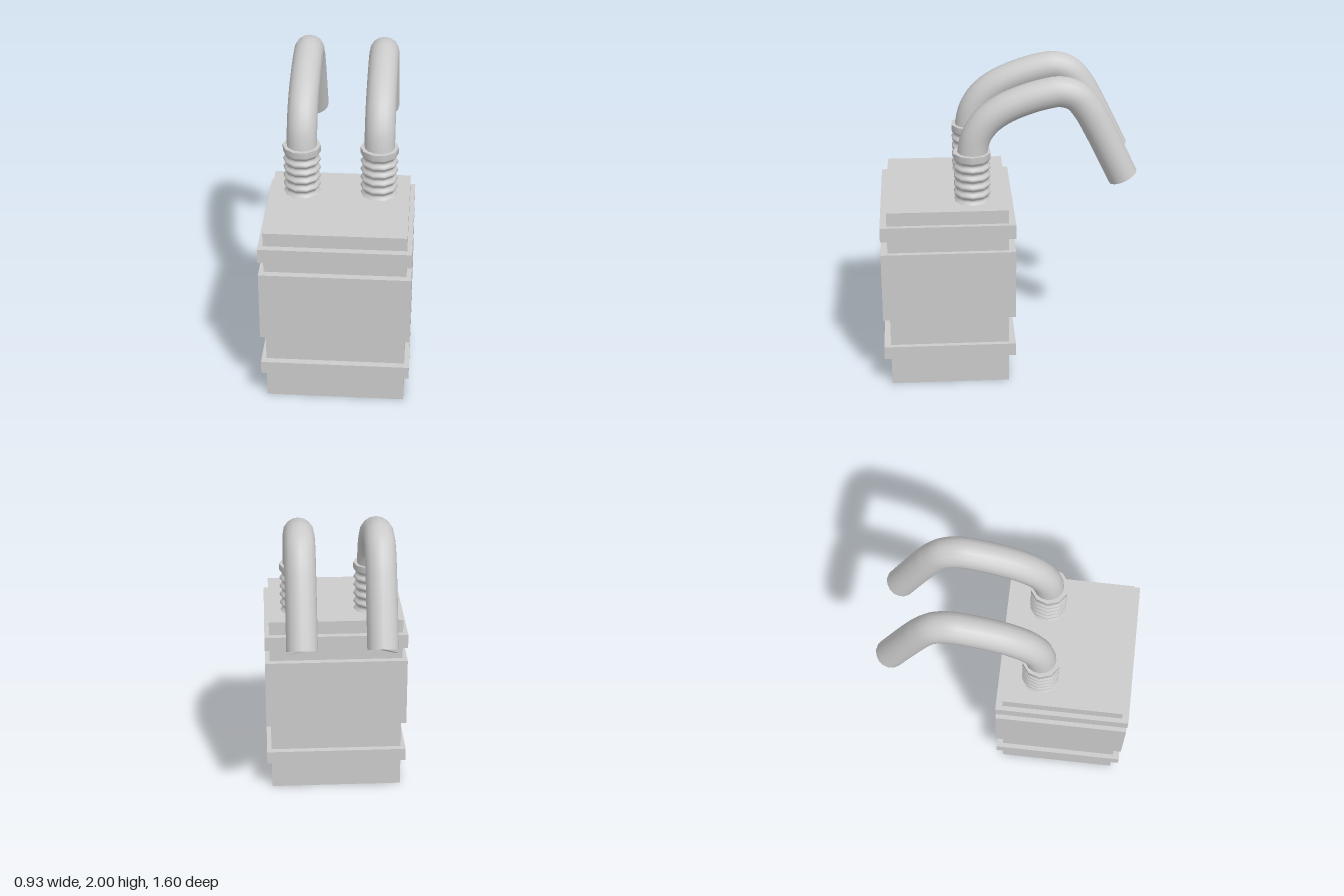
import * as THREE from 'three';

const material = new THREE.MeshStandardMaterial({ color: 0xcccccc });
const BODY_Z = 0.385;
const HOSE_X = 0.24;
const HOSE_Z = 0.226;
const HOSE_R = 0.094;

function addMesh(parent, name, geometry) {
  const mesh = new THREE.Mesh(geometry, material);
  mesh.name = name;
  parent.add(mesh);
  return mesh;
}

// Square block spanning two heights
function addBlock(parent, name, y0, y1, width, depth) {
  const block = addMesh(parent, name, new THREE.BoxGeometry(width, y1 - y0, depth));
  block.position.set(0, (y0 + y1) / 2, BODY_Z);
}

// Ribbed sleeve profile: five bulges below a plain rim
function collarGeometry() {
  const profile = [];
  const bottom = 1.205, ribs = 5, pitch = 0.057, steps = 6;
  for (let i = 0; i <= ribs * steps; i++) {
    const wave = Math.cos((i / steps) * Math.PI * 2);
    profile.push(new THREE.Vector2(0.109 + 0.009 * wave, bottom + (i * pitch) / steps));
  }
  profile.push(new THREE.Vector2(0.119, 1.53));
  return new THREE.LatheGeometry(profile, 10, Math.PI / 2);
}

function createHose(side) {
  const hose = new THREE.Group();
  hose.name = side > 0 ? 'leftHose' : 'rightHose';
  hose.position.x = side * HOSE_X;

  const collar = addMesh(hose, 'ribbedCollar', collarGeometry());
  collar.position.z = HOSE_Z;
  const rim = addMesh(hose, 'collarTop', new THREE.CircleGeometry(0.119, 10));
  rim.rotation.x = -Math.PI / 2;
  rim.position.set(0, 1.53, HOSE_Z);

  // Bent pipe, as [z, y] points from the collar to the free end
  const path = new THREE.CatmullRomCurve3([
    [0.226, 1.45], [0.222, 1.53], [0.198, 1.63], [0.14, 1.72], [0.04, 1.797],
    [-0.09, 1.855], [-0.22, 1.893], [-0.32, 1.906], [-0.415, 1.873],
    [-0.485, 1.79], [-0.55, 1.675], [-0.635, 1.505], [-0.715, 1.34],
  ].map(([z, y]) => new THREE.Vector3(0, y, z)));
  addMesh(hose, 'bentPipe', new THREE.TubeGeometry(path, 48, HOSE_R, 16));

  // Flat cap on the free end
  const cap = addMesh(hose, 'pipeEnd', new THREE.CircleGeometry(HOSE_R, 16));
  const end = path.getPoint(1);
  cap.position.copy(end);
  cap.lookAt(end.clone().add(path.getTangent(1)).sub(new THREE.Vector3()));
  return hose;
}

export function createModel() {
  const model = new THREE.Group();
  model.name = 'twinHoseCanister';

  // Core with three raised bands
  addBlock(model, 'core', 0, 1.21, 0.866, 0.754);
  addBlock(model, 'lowerBand', 0.2, 0.285, 0.926, 0.84);
  addBlock(model, 'middleBand', 0.48, 0.938, 0.926, 0.84);
  addBlock(model, 'upperBand', 1.03, 1.122, 0.926, 0.84);

  for (const side of [-1, 1]) model.add(createHose(side));
  return model;
}
